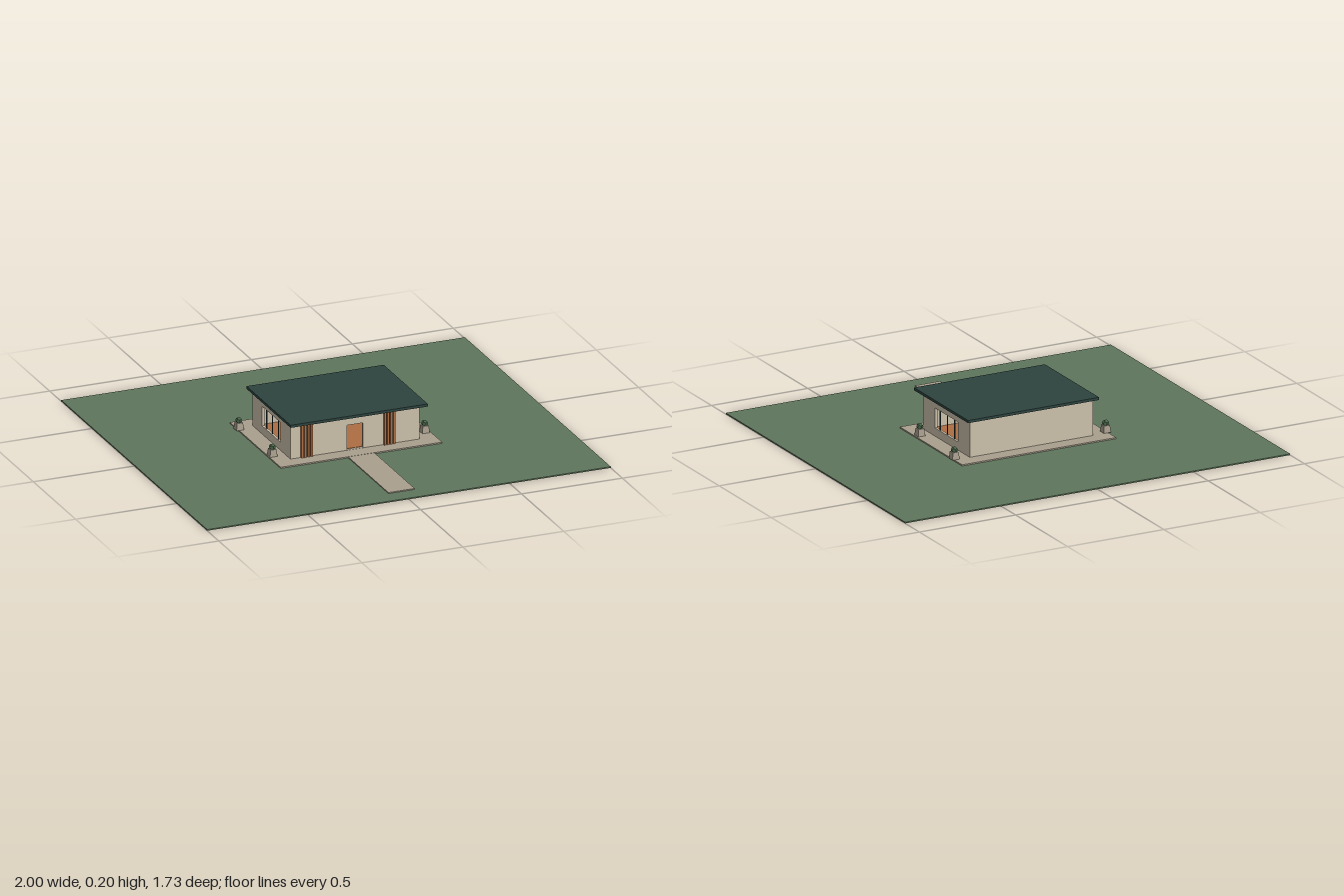
import * as THREE from 'three';

const mat = (name, color) => {
  const m = new THREE.MeshStandardMaterial({ color });
  m.name = name;
  return m;
};

export function createModel() {
  const grass = mat('grass', 0x5f755b);
  const paving = mat('paving', 0xa99f8e);
  const plaster = mat('plaster', 0xcbc0ab);
  const roofing = mat('roofing', 0x2d433e);
  const wood = mat('wood', 0xad6e41);
  const frame = mat('windowFrame', 0x2b3a38);
  const leaf = mat('leaf', 0x48664a);

  const house = new THREE.Group();
  house.name = 'house';

  const add = (name, geometry, material, parent = house) => {
    const mesh = new THREE.Mesh(geometry, material);
    mesh.name = name;
    parent.add(mesh);
    return mesh;
  };
  // Box given by its limits on each axis
  const box = (name, material, [x0, x1], [y0, y1], [z0, z1], parent) => {
    const g = new THREE.BoxGeometry(x1 - x0, y1 - y0, z1 - z0);
    g.translate((x0 + x1) / 2, (y0 + y1) / 2, (z0 + z1) / 2);
    return add(name, g, material, parent);
  };
  // Upright wall with one rectangular opening, extruded along z
  const wallWithOpening = (halfWidth, y0, y1, holeHalf, h0, h1, depth) => {
    const rect = (p, w, a, b) => {
      p.moveTo(-w, a);
      p.lineTo(w, a);
      p.lineTo(w, b);
      p.lineTo(-w, b);
      p.closePath();
      return p;
    };
    const shape = rect(new THREE.Shape(), halfWidth, y0, y1);
    shape.holes.push(rect(new THREE.Path(), holeHalf, h0, h1));
    return new THREE.ExtrudeGeometry(shape, { depth, bevelEnabled: false });
  };

  // Site
  box('lawn', grass, [-1, 1], [0, 0.006], [-0.863, 0.863]);
  box('terrace', paving, [-0.4, 0.4], [0.006, 0.012], [-0.3, 0.3]);
  box('path', paving, [-0.065, 0.065], [0.006, 0.011], [0.3, 0.775]);

  // Walls, hollow inside
  const T = 0.012, base = 0.012, top = 0.187;
  const HX = 0.32, HZ = 0.225;
  const front = wallWithOpening(HX, base, top, 0.04, base + 0.001, 0.135, T);
  add('frontWall', front, plaster).position.z = HZ - T;
  box('backWall', plaster, [-HX, HX], [base, top], [-HZ, -HZ + T]);
  box('floor', wood, [-HX + T, HX - T], [base, base + 0.003], [-HZ + T, HZ - T]);
  box('partition', plaster, [-0.09, -0.08], [base, top], [0.072, HZ - T]);

  for (const side of [-1, 1]) {
    const wall = wallWithOpening(HZ - T, base, top, 0.11, 0.052, 0.148, T);
    wall.rotateY(Math.PI / 2);
    add('sideWall', wall, plaster).position.x = side > 0 ? HX - T : -HX;

    // Window posts
    const cx = side * (HX - T / 2);
    for (const z of [-0.07, 0, 0.07]) {
      box('windowPost', frame, [cx - 0.002, cx + 0.002], [0.052, 0.148], [z - 0.0025, z + 0.0025]);
    }
  }

  // Flat overhanging roof
  box('roof', roofing, [-0.34, 0.34], [top, 0.2], [-0.247, 0.275]);

  // Timber slats on the front
  for (const x0 of [-0.264, 0.146]) {
    for (let i = 0; i < 4; i++) {
      const x = x0 + i * 0.0155;
      box('slat', wood, [x - 0.005, x + 0.005], [base, 0.18], [HZ, HZ + 0.01]);
    }
  }

  // Planters with small shrubs
  const potGeometry = new THREE.CylinderGeometry(0.021, 0.026, 0.034, 4).toNonIndexed();
  potGeometry.rotateY(Math.PI / 4);
  potGeometry.computeVertexNormals();
  const shrubGeometry = new THREE.DodecahedronGeometry(0.016);
  for (const [x, z] of [[-0.38, 0.153], [0.375, 0.153], [-0.395, -0.207], [0.391, -0.207]]) {
    const planter = new THREE.Group();
    planter.name = 'planter';
    planter.position.set(x, base, z);
    add('pot', potGeometry, paving, planter).position.y = 0.017;
    add('shrub', shrubGeometry, leaf, planter).position.y = 0.043;
    house.add(planter);
  }

  return house;
}
